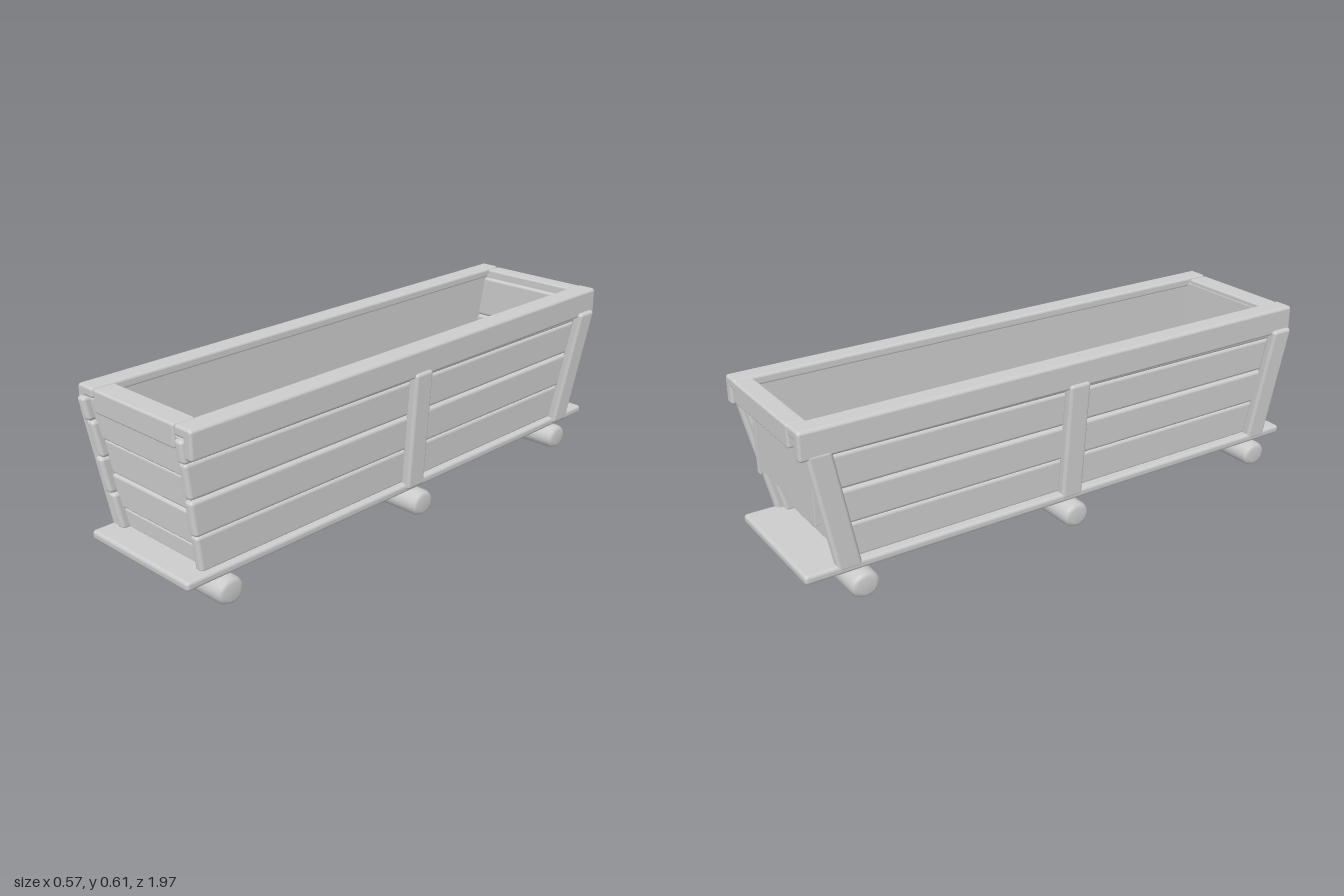
import * as THREE from 'three';
import { RoundedBoxGeometry } from 'three/addons/geometries/RoundedBoxGeometry.js';

const material = new THREE.MeshStandardMaterial({ color: 0xcccccc });

// Slopes of the flared body: half width and end positions at height y
const halfWidth = (y) => 0.215 + 0.085 * (y - 0.12);
const frontZ = (y) => 0.91 + 0.17 * (y - 0.12);
const backZ = (y) => -0.855 - 0.25 * (y - 0.12);

// Rounded box between two corners, with an optional rule that moves each vertex
function block(parent, name, min, max, radius, rule) {
  const size = max.map((v, i) => v - min[i]);
  const r = Math.min(radius, Math.min(...size) * 0.45);
  const geo = new RoundedBoxGeometry(size[0], size[1], size[2], 3, r);
  geo.translate(...max.map((v, i) => (v + min[i]) / 2));
  if (rule) {
    const p = geo.attributes.position;
    const v = new THREE.Vector3();
    for (let i = 0; i < p.count; i++) {
      rule(v.fromBufferAttribute(p, i));
      p.setXYZ(i, v.x, v.y, v.z);
    }
  }
  const mesh = new THREE.Mesh(geo, material);
  mesh.name = name;
  parent.add(mesh);
  return mesh;
}

// Log with softly rounded ends, lying along x
function log(parent, x0, x1, z) {
  const r = 0.045, b = 0.018, len = x1 - x0;
  const points = [[0, 0], [r - b, 0], [r - b * 0.3, b * 0.3], [r, b],
    [r * 1.02, len / 2], [r, len - b], [r - b * 0.3, len - b * 0.3], [r - b, len], [0, len]];
  const geo = new THREE.LatheGeometry(points.map((p) => new THREE.Vector2(...p)), 24);
  geo.rotateZ(-Math.PI / 2);
  geo.scale(1, 1, 1.13);
  const mesh = new THREE.Mesh(geo, material);
  mesh.name = 'footLog';
  mesh.position.set(x0, 0.046, z);
  parent.add(mesh);
}

export function createModel() {
  const model = new THREE.Group();
  model.name = 'woodenTrough';

  // Feet and base board
  const feet = new THREE.Group();
  feet.name = 'feet';
  model.add(feet);
  log(feet, -0.275, 0.265, 0.84);
  log(feet, -0.285, 0.28, 0);
  log(feet, -0.28, 0.265, -0.8);
  block(model, 'baseBoard', [-0.247, 0.09, -0.985], [0.238, 0.122, 0.985], 0.012);

  // Long side walls: planks following the flare, ends following the sloped end walls
  const sideRows = [0.115, 0.245, 0.37, 0.495, 0.575];
  const bump = [0, 0.004, -0.002, 0.003];
  for (const s of [1, -1]) {
    const wall = new THREE.Group();
    wall.name = s > 0 ? 'leftWall' : 'rightWall';
    model.add(wall);
    for (let i = 0; i < 4; i++) {
      const out = bump[i];
      block(wall, 'sidePlank', [-0.018, sideRows[i], -1], [0.018, sideRows[i + 1], 1], 0.013, (v) => {
        v.x += s * (halfWidth(v.y) - 0.018 + out);
        v.z = THREE.MathUtils.mapLinear(v.z, -1, 1, backZ(v.y) - out, frontZ(v.y) + out);
      });
    }
  }

  // End walls between the side planks
  const endRows = [0.115, 0.19, 0.31, 0.43, 0.575];
  for (const [name, zAt, s] of [['frontWall', frontZ, 1], ['backWall', backZ, -1]]) {
    const wall = new THREE.Group();
    wall.name = name;
    model.add(wall);
    for (let i = 0; i < 4; i++) {
      block(wall, 'endPlank', [-1, endRows[i], -0.02], [1, endRows[i + 1], 0.02], 0.01, (v) => {
        v.x *= halfWidth(v.y) - 0.02;
        v.z += zAt(v.y) - s * (0.045 - bump[i]);
      });
    }
  }

  // Upright posts on the outside: side, bottom z, top z
  const posts = [[1, 0.005, 0.008], [-1, 0.005, 0.008], [1, -0.835, -0.92], [-1, -0.835, -0.92], [-1, 0.865, 0.925]];
  for (const [s, z0, z1] of posts) {
    block(model, 'post', [-0.02, 0.1, -0.041], [0.02, 0.53, 0.041], 0.012, (v) => {
      v.x += s * (halfWidth(v.y) + 0.014);
      v.z += THREE.MathUtils.mapLinear(v.y, 0.12, 0.52, z0, z1);
    });
  }

  // Rim: flat top boards with a skirt on the outside, slightly out of square
  const rim = new THREE.Group();
  rim.name = 'rim';
  model.add(rim);
  const skew = (v) => { v.x += 0.008 * v.z; };
  for (const s of [1, -1]) {
    const between = (a, b) => (s > 0 ? [a, b] : [-b, -a]);
    const [t0, t1] = between(0.198, 0.272);
    block(rim, 'sideRimTop', [t0, 0.575, -0.985], [t1, 0.61, 0.975], 0.01, skew);
    const [k0, k1] = between(0.236, 0.274);
    block(rim, 'sideRimSkirt', [k0, 0.513, -0.985], [k1, 0.608, 0.975], 0.01, skew);
  }
  block(rim, 'frontRim', [-0.19, 0.53, 0.892], [0.2, 0.607, 0.972], 0.008);
  block(rim, 'backRim', [-0.205, 0.53, -0.985], [0.195, 0.607, -0.92], 0.008);

  // Smooth inner lining and raised floor
  const lining = new THREE.Group();
  lining.name = 'lining';
  model.add(lining);
  for (const s of [1, -1]) {
    block(lining, 'sideLining', [s * 0.21 - 0.01, 0.27, -0.93], [s * 0.21 + 0.01, 0.59, 0.91], 0.002, skew);
  }
  block(lining, 'frontLining', [-0.2, 0.27, 0.89], [0.21, 0.59, 0.91], 0.002,
    (v) => { v.z -= 0.1 * (0.59 - v.y); });
  block(lining, 'backLining', [-0.21, 0.27, -0.94], [0.2, 0.59, -0.92], 0.002,
    (v) => { v.z += 0.08 * (0.59 - v.y); });
  block(lining, 'floor', [-0.205, 0.26, -0.9], [0.205, 0.28, 0.88], 0.002);

  return model;
}
